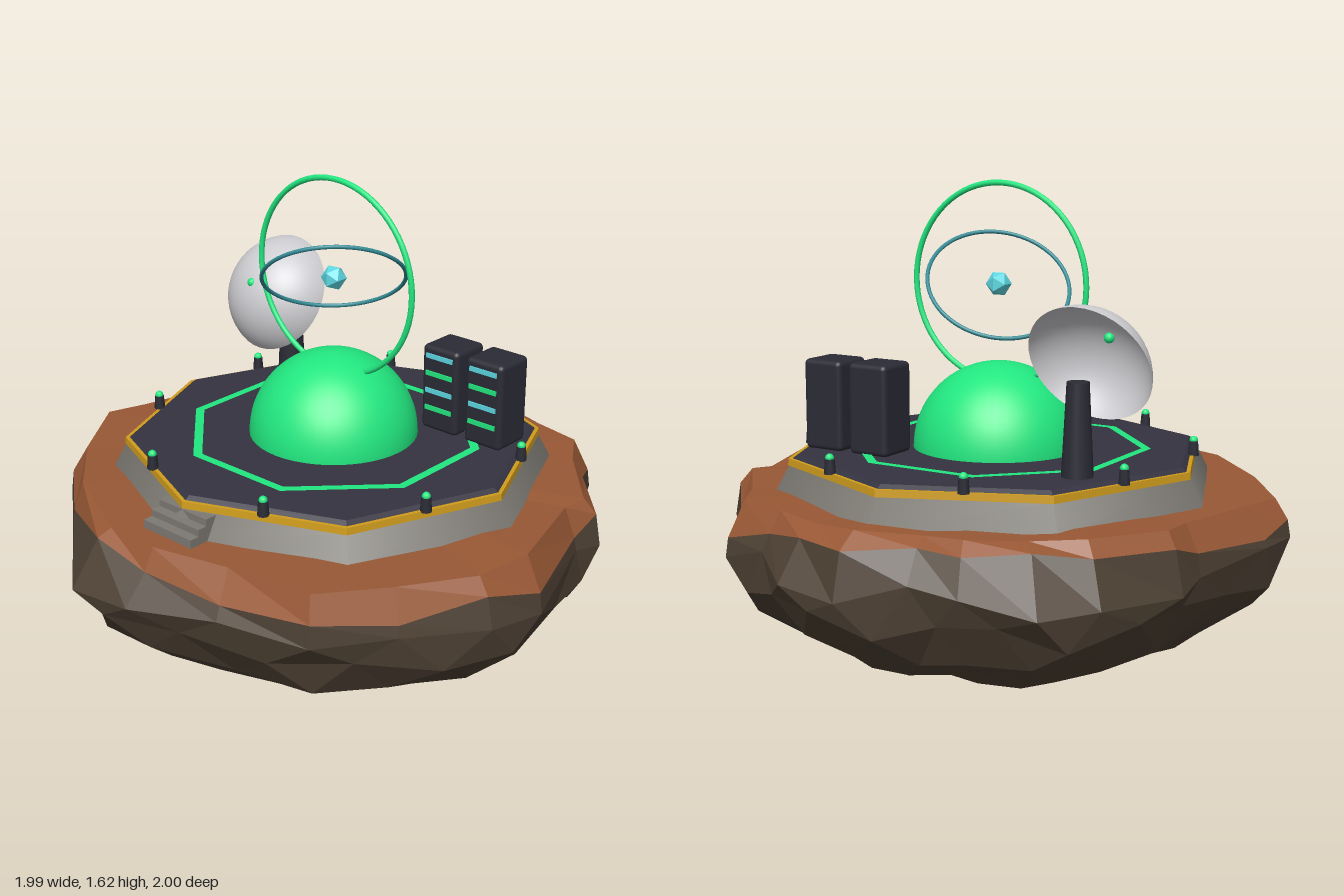
import * as THREE from 'three';
import { RoundedBoxGeometry } from 'three/addons/geometries/RoundedBoxGeometry.js';

const mat = (name, color, extra = {}) => {
  const m = new THREE.MeshStandardMaterial({ color, ...extra });
  m.name = name;
  return m;
};

export function createModel() {
  const M = {
    rock: mat('darkRock', 0x4d4033, { flatShading: true }),
    rust: mat('rustSoil', 0x985835, { flatShading: true, side: THREE.DoubleSide }),
    concrete: mat('concrete', 0x7d7a73),
    deck: mat('deckSlate', 0x343340, { flatShading: true }),
    metal: mat('darkMetal', 0x2b2b36),
    gold: mat('goldTrim', 0xd09c1c, { flatShading: true }),
    green: mat('glowGreen', 0x22e880),
    dish: mat('dishGrey', 0xcdcdd1, { side: THREE.DoubleSide }),
    cyan: mat('cyan', 0x5cd6e0, { flatShading: true }),
    teal: mat('teal', 0x348c96),
  };
  const model = new THREE.Group();
  model.name = 'floatingStation';
  const add = (parent, name, geo, material, x = 0, y = 0, z = 0) => {
    const mesh = new THREE.Mesh(geo, material);
    mesh.name = name;
    mesh.position.set(x, y, z);
    parent.add(mesh);
    return mesh;
  };

  // Island: rings of an irregular outline, [x, z, soil reach, soil edge height]
  const outline = [
    [-0.02, -1, 0.96, 0.53], [0.2, -0.99, 0.91, 0.53], [0.38, -0.85, 0.97, 0.5], [0.58, -0.8, 0.99, 0.45],
    [0.66, -0.64, 0.99, 0.5], [0.89, -0.39, 0.98, 0.52], [0.86, -0.29, 0.99, 0.46], [0.99, 0.1, 0.99, 0.46],
    [0.95, 0.31, 0.97, 0.51], [0.78, 0.56, 0.99, 0.46], [0.61, 0.78, 0.99, 0.49], [0.3, 0.87, 0.97, 0.47],
    [0, 0.98, 0.91, 0.5], [-0.24, 1, 0.9, 0.55], [-0.55, 0.74, 0.99, 0.48], [-0.82, 0.52, 0.99, 0.47],
    [-1, 0.23, 0.99, 0.5], [-0.98, 0.08, 0.99, 0.46], [-0.89, -0.25, 0.99, 0.48], [-0.9, -0.39, 0.96, 0.52],
    [-0.77, -0.68, 0.93, 0.53], [-0.65, -0.85, 0.87, 0.55], [-0.4, -0.89, 0.93, 0.53], [-0.24, -0.92, 0.91, 0.54],
  ];
  const n = outline.length;
  let seed = 7;
  const jitter = (a) => {
    seed = (seed * 16807) % 2147483647;
    return (seed / 2147483647 - 0.5) * 2 * a;
  };
  // each half step of shift staggers a ring against the one above it
  const ring = (shift, scale, y, js = 0, jy = 0) => outline.map((_, i) => {
    const t = i + shift / 2;
    const a = outline[Math.floor(t) % n], b = outline[Math.ceil(t) % n];
    const s = scale + jitter(js);
    return [(a[0] + b[0]) / 2 * s, y + jitter(jy), (a[1] + b[1]) / 2 * s];
  });
  const loft = (rings) => {
    const pos = [];
    for (let r = 0; r < rings.length - 1; r++) {
      const a = rings[r], b = rings[r + 1];
      for (let i = 0; i < n; i++) {
        const j = (i + 1) % n;
        pos.push(...a[i], ...a[j], ...b[i], ...a[j], ...b[j], ...b[i]);
      }
    }
    const g = new THREE.BufferGeometry();
    g.setAttribute('position', new THREE.Float32BufferAttribute(pos, 3));
    g.computeVertexNormals();
    return g;
  };
  const point = (y) => outline.map(() => [0, y, 0]);
  const soilEdge = outline.map(([x, z, s, y]) => [x * s, y, z * s]);
  const soilBrow = outline.map(([x, z, s]) => {
    const k = s - 0.055 + jitter(0.02);
    return [x * k, 0.572 + jitter(0.01), z * k];
  });
  add(model, 'soilTop', loft([point(0.575), soilBrow, soilEdge]), M.rust);
  add(model, 'rockBody', loft([
    soilEdge,
    ring(0, 1, 0.41, 0, 0.04),
    ring(1, 0.98, 0.3, 0.02, 0.04),
    ring(2, 0.88, 0.19, 0.025, 0.03),
    ring(3, 0.745, 0.09, 0.025, 0.02),
    ring(4, 0.59, 0.02, 0.03, 0.01),
    ring(5, 0.47, 0, 0.03, 0),
    point(0),
  ]), M.rock);

  // Station sits slightly off the island's centre
  const station = new THREE.Group();
  station.name = 'station';
  station.position.set(-0.01, 0, -0.026);
  model.add(station);

  // Octagonal platform
  const octagon = (name, top, bottom, y0, y1, material) =>
    add(station, name, new THREE.CylinderGeometry(top, bottom, y1 - y0, 8), material, 0, (y0 + y1) / 2, 0);
  octagon('platformBase', 0.733, 0.787, 0.56, 0.66, M.concrete);
  octagon('goldTrim', 0.736, 0.738, 0.657, 0.681, M.gold);
  octagon('deck', 0.705, 0.722, 0.681, 0.693, M.deck);
  const marking = add(station, 'deckMarking',
    new THREE.RingGeometry(0.5, 0.533, 8, 1, Math.PI / 8), M.green, 0, 0.697, 0);
  marking.rotation.x = -Math.PI / 2;

  // Entry steps
  for (let i = 0; i < 3; i++) {
    const front = 0.807 - i * 0.035, top = 0.605 + i * 0.024;
    add(station, 'step', new THREE.BoxGeometry(0.22, top - 0.56, front - 0.66),
      M.concrete, 0, (top + 0.56) / 2, (front + 0.66) / 2);
  }

  // Lamps along the deck edge
  for (let i = 0; i < 8; i++) {
    const a = (i + 0.5) * Math.PI / 4;
    const lamp = new THREE.Group();
    lamp.name = 'edgeLamp';
    lamp.position.set(Math.sin(a) * 0.679, 0, Math.cos(a) * 0.679);
    add(lamp, 'lampPost', new THREE.CylinderGeometry(0.016, 0.02, 0.05, 8), M.metal, 0, 0.704, 0);
    add(lamp, 'lampBulb', new THREE.SphereGeometry(0.015, 10, 8), M.green, 0, 0.732, 0);
    station.add(lamp);
  }

  // Dome
  add(station, 'dome', new THREE.SphereGeometry(0.299, 48, 20, 0, Math.PI * 2, 0, Math.PI / 2),
    M.green, 0, 0.692, 0);

  // Rings and floating crystal
  add(station, 'largeRing', new THREE.TorusGeometry(0.343, 0.01, 10, 72), M.green, 0, 1.262, 0);
  const small = add(station, 'tiltedRing', new THREE.TorusGeometry(0.247, 0.007, 10, 64), M.teal, 0, 1.26, 0);
  small.quaternion.setFromUnitVectors(new THREE.Vector3(0, 0, 1),
    new THREE.Vector3(-0.46, 0.74, -0.49).normalize());
  add(station, 'crystal', new THREE.IcosahedronGeometry(0.045), M.cyan, 0, 1.26, 0);

  // Dish on its mast
  add(model, 'dishMast', new THREE.CylinderGeometry(0.037, 0.053, 0.31, 16), M.metal, -0.484, 0.845, -0.315);
  const dish = new THREE.Group();
  dish.name = 'dish';
  dish.position.set(-0.484, 1.012, -0.304);
  dish.rotation.x = Math.atan2(0.885, 0.465);
  add(dish, 'dishBowl', new THREE.SphereGeometry(0.231, 40, 16, 0, Math.PI * 2, 0, Math.PI * 0.4), M.dish);
  add(dish, 'dishTip', new THREE.SphereGeometry(0.018, 12, 8), M.green, 0, 0.222, 0);
  model.add(dish);

  // Equipment cabinets with light strips
  for (const x of [0.276, 0.465]) {
    const cabinet = new THREE.Group();
    cabinet.name = 'cabinet';
    cabinet.position.set(x, 0, -0.337);
    add(cabinet, 'cabinetBody', new RoundedBoxGeometry(0.156, 0.315, 0.156, 3, 0.018), M.metal, 0, 0.848, 0);
    for (let i = 0; i < 4; i++) {
      add(cabinet, 'lightStrip', new THREE.BoxGeometry(0.114, 0.017, 0.008),
        i % 2 ? M.green : M.cyan, 0, 0.97 - i * 0.065, 0.079);
    }
    model.add(cabinet);
  }
  return model;
}
